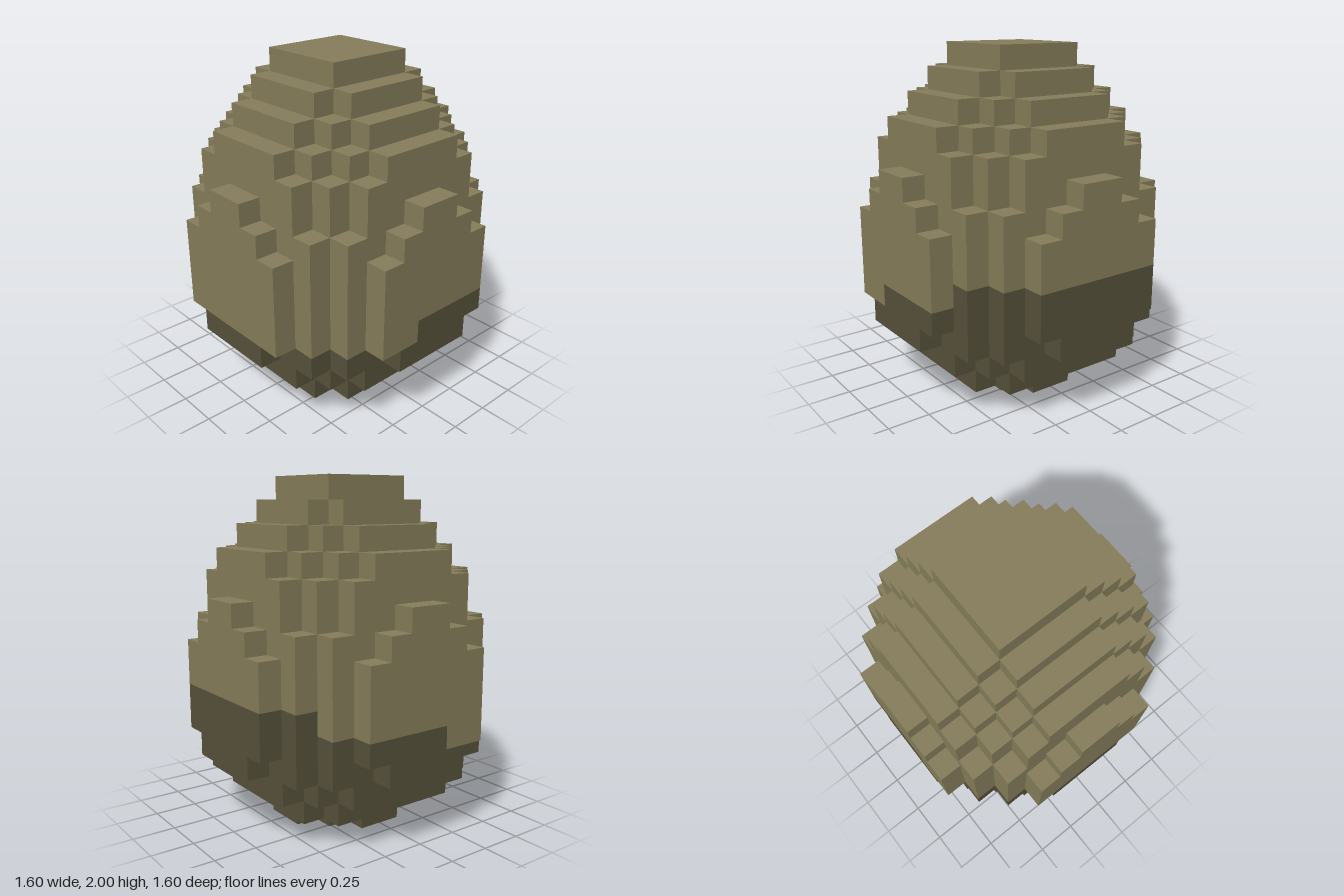
import * as THREE from 'three';

const U = 2 / 15; // edge of one cube

// One entry per layer, bottom to top: half-width of the layer in cubes,
// for each row of cubes counted outward from the centre.
const LAYERS = [
  [3, 2, 1],
  [4, 4, 4, 3],
  [5, 5, 5, 4, 3],
  [6, 6, 5, 5, 4, 2],
  [6, 6, 6, 5, 4, 3],
  [6, 6, 6, 5, 4, 3],
  [6, 6, 6, 5, 4, 3],
  [6, 6, 6, 5, 4, 3],
  [6, 6, 5, 5, 4, 2],
  [6, 5, 5, 4, 3, 1],
  [5, 5, 5, 4, 3],
  [5, 5, 4, 3, 2],
  [4, 4, 3, 2],
  [3, 3, 2],
  [2, 2],
];

// Distance of a cube index from the centre line: 0, 1, 2 ... on either side
const ring = (i) => (i < 0 ? -i - 1 : i);

const filled = ([x, y, z]) => ring(x) < (LAYERS[y]?.[ring(z)] ?? 0);

// The dark base climbs in steps toward the left side
function darkHeight(x, z) {
  if (x < -1) return 4;
  if (x < 3 || z < -4) return 5;
  return 6;
}

// Outer skin of all cubes accepted by the test; no inner faces
function skin(accept) {
  const position = [], normal = [], index = [];
  const addFace = (cell, axis, side) => {
    const b = (axis + 1) % 3, c = (axis + 2) % 3;
    const start = position.length / 3;
    for (const [p, q] of [[0, 0], [1, 0], [1, 1], [0, 1]]) {
      const corner = [...cell];
      corner[axis] += side > 0 ? 1 : 0;
      corner[b] += p;
      corner[c] += q;
      position.push(...corner.map((v) => v * U));
      const n = [0, 0, 0];
      n[axis] = side;
      normal.push(...n);
    }
    const order = side > 0 ? [0, 1, 2, 0, 2, 3] : [0, 2, 1, 0, 3, 2];
    index.push(...order.map((i) => start + i));
  };

  for (let y = 0; y < LAYERS.length; y++)
    for (let x = -6; x < 6; x++)
      for (let z = -6; z < 6; z++) {
        const cell = [x, y, z];
        if (!filled(cell) || !accept(x, y, z)) continue;
        for (let axis = 0; axis < 3; axis++)
          for (const side of [-1, 1]) {
            const next = [...cell];
            next[axis] += side;
            if (!filled(next)) addFace(cell, axis, side);
          }
      }

  const geometry = new THREE.BufferGeometry();
  geometry.setAttribute('position', new THREE.Float32BufferAttribute(position, 3));
  geometry.setAttribute('normal', new THREE.Float32BufferAttribute(normal, 3));
  geometry.setIndex(index);
  return geometry;
}

export function createModel() {
  const model = new THREE.Group();
  model.name = 'blockEgg';

  const paleOlive = new THREE.MeshStandardMaterial({ color: 0x857d5a });
  paleOlive.name = 'paleOlive';
  const darkOlive = new THREE.MeshStandardMaterial({ color: 0x57513b });
  darkOlive.name = 'darkOlive';

  // Pale upper shell
  const upperShell = new THREE.Mesh(skin((x, y, z) => y >= darkHeight(x, z)), paleOlive);
  upperShell.name = 'upperShell';

  // Dark base
  const lowerShell = new THREE.Mesh(skin((x, y, z) => y < darkHeight(x, z)), darkOlive);
  lowerShell.name = 'lowerShell';

  model.add(upperShell, lowerShell);
  return model;
}
